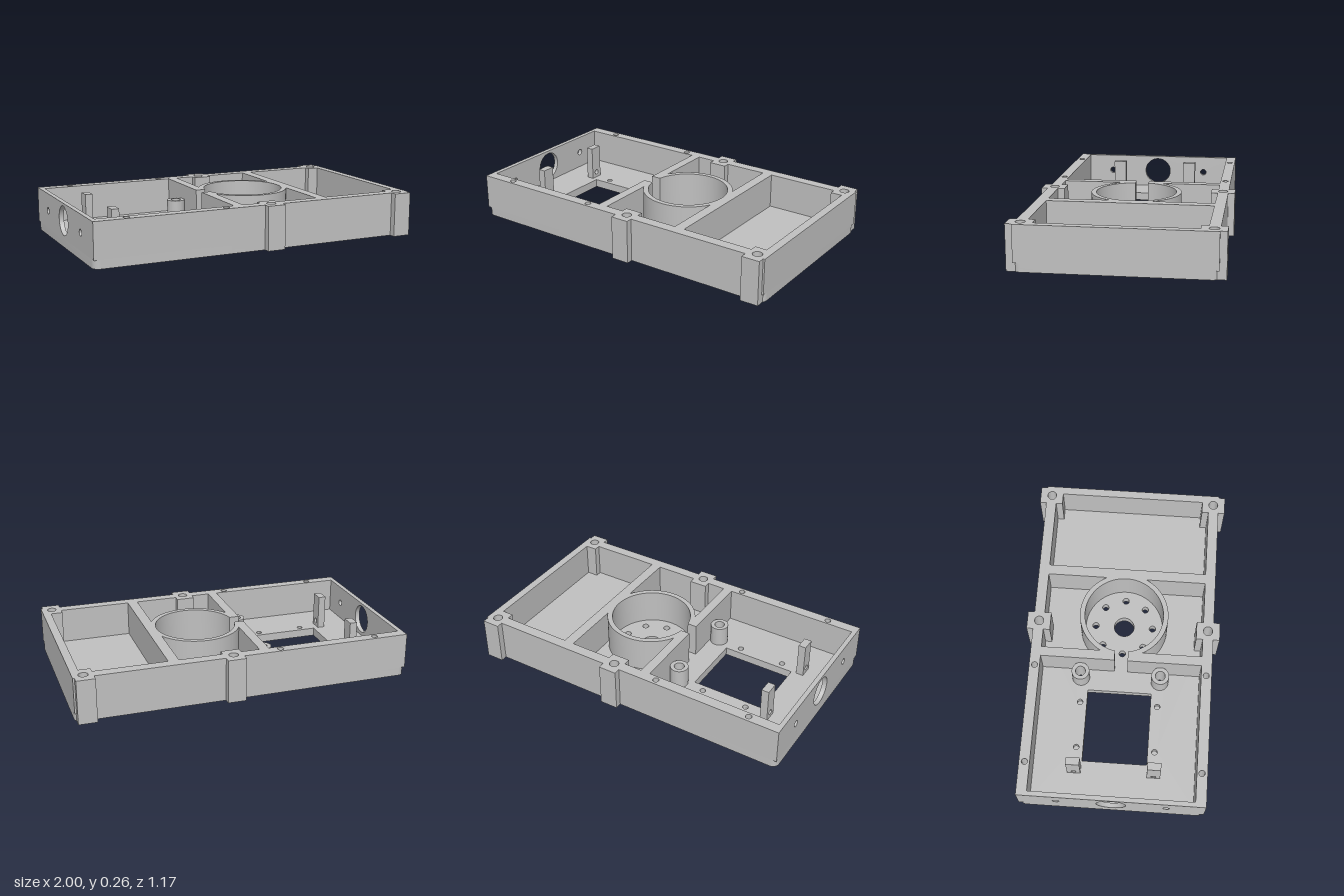
import * as THREE from 'three';
import { toCreasedNormals } from 'three/addons/utils/BufferGeometryUtils.js';

const H = 0.262, FLOOR = 0.05, W = 0.548, IN = 0.485, BOSS_IN = 0.445, BOSS_OUT = 0.587;
const CX = 0.149, R_IN = 0.24, R_OUT = 0.27;

const polygon = (pts, Type = THREE.Shape) => new Type(pts.map(([x, y]) => new THREE.Vector2(x, y)));
const rect = (x0, y0, x1, y1, Type) => polygon([[x0, y0], [x1, y0], [x1, y1], [x0, y1]], Type);
const circle = (x, y, r, Type = THREE.Path) => new Type().absarc(x, y, r, 0, Math.PI * 2, false);
const mirrored = (list) => list.flatMap(([x, z, r]) => [[x, z, r], [x, -z, r]]);
const drill = (shape, list) => list.forEach(([x, y, r]) => shape.holes.push(circle(x, y, r)));

// points along an arc
function arc(cx, cy, r, a0, a1, n = 48) {
  return Array.from({ length: n + 1 }, (_, i) => {
    const a = a0 + (a1 - a0) * i / n;
    return [cx + r * Math.cos(a), cy + r * Math.sin(a)];
  });
}

function extrude(shape, depth) {
  return new THREE.ExtrudeGeometry(shape, { depth, bevelEnabled: false, curveSegments: 20 });
}

export function createModel() {
  const group = new THREE.Group();
  const grey = new THREE.MeshStandardMaterial({ color: 0xc0c0c0 });
  grey.name = 'grey';

  const add = (name, geometry) => {
    const mesh = new THREE.Mesh(toCreasedNormals(geometry, 0.5), grey);
    mesh.name = name;
    group.add(mesh);
  };
  // plan outline raised from y0 to y1
  const slab = (name, shape, y0, y1) =>
    add(name, extrude(shape, y1 - y0).rotateX(-Math.PI / 2).translate(0, y0, 0));
  // upright (z, y) outline running from x0 to x1
  const upright = (name, shape, x0, x1) =>
    add(name, extrude(shape, x1 - x0).rotateY(Math.PI / 2).translate(x0, 0, 0));

  // outer edge of one long side, with its two screw bosses
  const side = [
    [0.022, W], [0.022, BOSS_OUT], [0.132, BOSS_OUT], [0.132, W],
    [0.882, W], [0.882, BOSS_OUT], [0.99, BOSS_OUT],
  ];
  const flip = (pts) => pts.map(([x, z]) => [x, -z]).reverse();
  const screwHoles = mirrored([[0.077, 0.515, 0.028], [0.937, 0.515, 0.028]]);
  const standoffs = mirrored([[-0.199, 0.243, 0.03]]);

  // walls: the outline runs round the open left bay and through the slot into the ring
  const slot = Math.asin(0.04 / R_IN);
  const halfInner = [[-0.147, 0.04], [-0.147, IN], [-0.972, IN], [-0.972, W]];
  const walls = polygon([
    ...halfInner, ...side, [0.99, W], [1, W],
    [1, -W], [0.99, -W], ...flip(side), ...flip(halfInner),
    ...arc(CX, 0, R_IN, -Math.PI + slot, Math.PI - slot, 80),
  ]);

  // two pockets beside the ring, wound like the drilled holes
  const a0 = Math.acos((0.39 - CX) / R_OUT), a1 = Math.acos((-0.09 - CX) / R_OUT);
  const pocket = [
    [0.39, IN], [0.132, IN], [0.132, BOSS_IN], [0.022, BOSS_IN],
    [0.022, IN], [-0.09, IN], ...arc(CX, 0, R_OUT, a1, a0),
  ];
  walls.holes.push(polygon(pocket, THREE.Path), polygon(flip(pocket), THREE.Path));

  // right bay, notched by the corner bosses
  const bay = [[0.952, BOSS_IN], [0.882, BOSS_IN], [0.882, IN], [0.452, IN]];
  walls.holes.push(polygon([...bay, ...flip(bay)], THREE.Path));
  drill(walls, [...screwHoles, ...mirrored([[-0.802, 0.515, 0.018], [-0.208, 0.515, 0.018]])]);
  slab('walls', walls, FLOOR, H);

  // floor with rounded corners, in two layers so that the small pilot holes stay blind
  const halfFloor = [
    ...arc(-0.96, W - 0.04, 0.04, Math.PI, Math.PI / 2, 8),
    ...side,
    ...arc(0.96, W - 0.04, 0.04, Math.acos(0.75), 0, 6),
  ];
  const pilots = mirrored([[-0.644, 0.237, 0.017], [-0.359, 0.237, 0.017]]);
  const ringHoles = Array.from({ length: 8 }, (_, i) => {
    const a = i * Math.PI / 4;
    return [CX + 0.178 * Math.cos(a), 0.178 * Math.sin(a), 0.02];
  });
  const floorLayer = (name, y0, y1, extra) => {
    const floor = polygon([...halfFloor, ...flip(halfFloor)]);
    floor.holes.push(rect(-0.727, -0.195, -0.279, 0.195, THREE.Path));
    drill(floor, [...screwHoles, ...standoffs, ...ringHoles, [CX, 0, 0.062], ...extra]);
    slab(name, floor, y0, y1);
  };
  floorLayer('floorBottom', 0, 0.015, []);
  floorLayer('floorTop', 0.015, FLOOR, pilots);

  // end wall with a large port and two screw holes
  const endWall = rect(-W, FLOOR, W, H, THREE.Shape);
  drill(endWall, [[0, 0.158, 0.087], [0.322, 0.155, 0.02], [-0.322, 0.155, 0.02]]);
  upright('endWall', endWall, -1, -0.972);

  // hollow standoffs
  for (const [x, z, r] of standoffs) {
    const tube = circle(x, z, 0.054, THREE.Shape);
    drill(tube, [[x, z, r]]);
    slab('standoff', tube, FLOOR, 0.172);
  }

  // drilled posts
  for (const z of [0.238, -0.238]) {
    const post = rect(z - 0.04, FLOOR, z + 0.04, 0.26, THREE.Shape);
    drill(post, [[z, 0.085, 0.016]]);
    upright('post', post, -0.803, -0.758);
  }
  return group;
}
